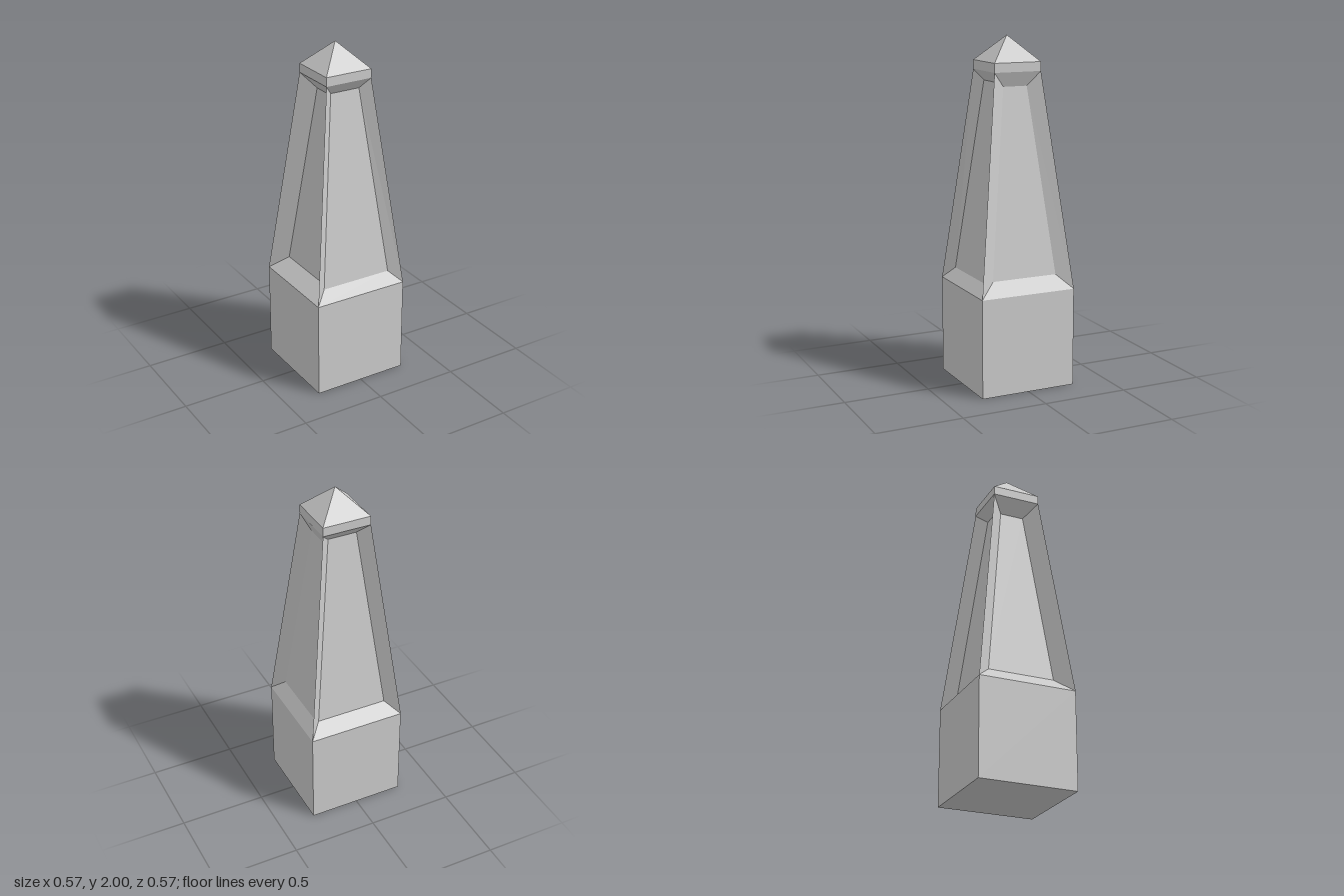
import * as THREE from 'three';

const BASE = 0.2865, CAP = 0.142;                    // half widths
const Y_BASE = 0.572, Y_NECK = 1.805, Y_CAP = 1.857, Y_TIP = 2;

// flat-shaded surface from quads, corners anticlockwise seen from outside
function quadGeometry(quads) {
  const pos = [];
  for (const [a, b, c, d] of quads) pos.push(...a, ...b, ...c, ...a, ...c, ...d);
  const g = new THREE.BufferGeometry();
  g.setAttribute('position', new THREE.Float32BufferAttribute(pos, 3));
  g.computeVertexNormals();
  return g;
}

// rectangle corners on a +z facing side: bottom and top as [half width, y, z]
const corners = ([wb, yb, zb], [wt, yt, zt]) =>
  [[-wb, yb, zb], [wb, yb, zb], [wt, yt, zt], [-wt, yt, zt]];

// one shaft side: sloped frame running in to a recessed panel
function sideGeometry(bottom, top) {
  const outer = corners([BASE, Y_BASE, BASE], [CAP, Y_NECK, CAP]);
  const inner = corners(bottom, top);
  const quads = [inner];
  for (let i = 0; i < 4; i++) {
    const j = (i + 1) % 4;
    quads.push([outer[i], outer[j], inner[j], inner[i]]);
  }
  return quadGeometry(quads);
}

export function createModel() {
  const group = new THREE.Group();
  const material = new THREE.MeshStandardMaterial({ color: 0xcccccc, flatShading: true });
  const add = (name, geometry, y = 0, turn = 0) => {
    const mesh = new THREE.Mesh(geometry, material);
    mesh.name = name;
    mesh.position.y = y;
    mesh.rotation.y = turn;
    group.add(mesh);
  };

  // square plinth
  add('plinth', new THREE.BoxGeometry(BASE * 2, Y_BASE, BASE * 2), Y_BASE / 2);

  // tapering shaft: each side has its own recess depth, never reaching past the corner diagonals
  const sides = [
    ['frontPanel', 0, [0.215, 0.64, 0.231], [0.09, 1.745, 0.1]],
    ['leftPanel', Math.PI / 2, [0.196, 0.655, 0.232], [0.072, 1.723, 0.106]],
    ['backPanel', Math.PI, [0.212, 0.642, 0.213], [0.085, 1.745, 0.086]],
    ['rightPanel', -Math.PI / 2, [0.196, 0.655, 0.198], [0.071, 1.723, 0.073]],
  ];
  for (const [name, turn, bottom, top] of sides) add(name, sideGeometry(bottom, top), 0, turn);

  // cap band and pyramid tip
  add('capBand', new THREE.BoxGeometry(CAP * 2, Y_CAP - Y_NECK, CAP * 2), (Y_CAP + Y_NECK) / 2);
  const tip = new THREE.ConeGeometry(CAP * Math.SQRT2, Y_TIP - Y_CAP, 4, 1, true).rotateY(Math.PI / 4);
  add('pyramidTip', tip, (Y_TIP + Y_CAP) / 2);

  return group;
}
